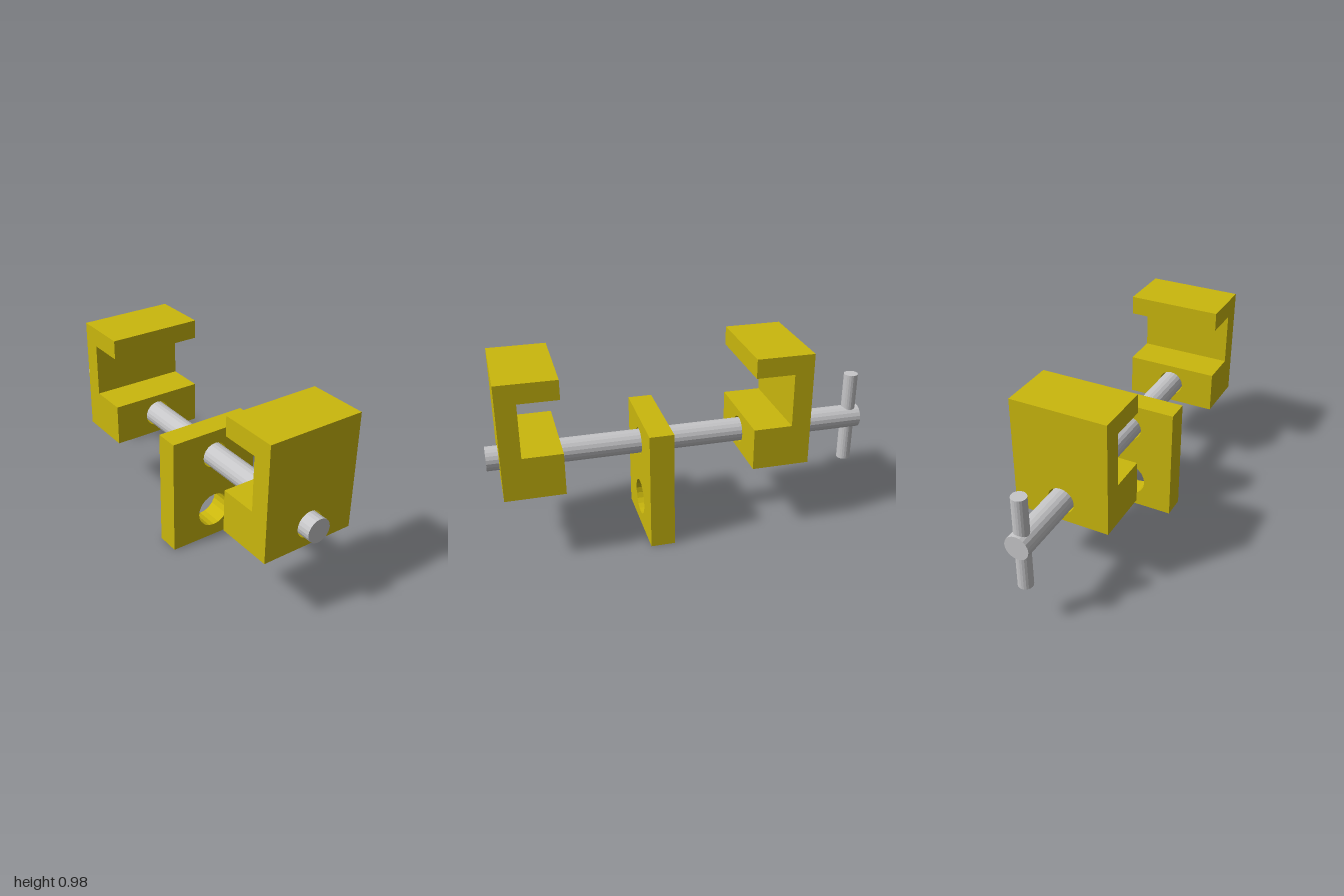
import * as THREE from 'three';

const ROD_Y = 0.4925;
const WIDTH = 0.5;

export function createModel() {
  const model = new THREE.Group();
  model.name = 'barClamp';

  const yellow = new THREE.MeshStandardMaterial({ color: 0xcab70d, flatShading: true });
  yellow.name = 'yellow paint';
  const steel = new THREE.MeshStandardMaterial({ color: 0xc6c6c8, flatShading: true });
  steel.name = 'steel';

  const add = (parent, name, geometry, material, x, y, z) => {
    const mesh = new THREE.Mesh(geometry, material);
    mesh.name = name;
    mesh.position.set(x, y, z);
    parent.add(mesh);
    return mesh;
  };

  // Upright slab from y0 to y1 with round holes [y, radius] through its depth
  const drilledSlab = (y0, y1, depth, holes) => {
    const w = WIDTH / 2;
    const shape = new THREE.Shape([
      new THREE.Vector2(-w, y0), new THREE.Vector2(w, y0),
      new THREE.Vector2(w, y1), new THREE.Vector2(-w, y1),
    ]);
    for (const [y, r] of holes) {
      shape.holes.push(new THREE.Path().absarc(0, y, r, 0, Math.PI * 2, true));
    }
    return new THREE.ExtrudeGeometry(shape, { depth, bevelEnabled: false, curveSegments: 10 });
  };

  const bore = [ROD_Y, 0.07];

  // C-shaped jaw, opening towards -z: drilled back wall, drilled foot and upper lip
  const makeJaw = (name) => {
    const jaw = new THREE.Group();
    jaw.name = name;
    add(jaw, 'jawWall', drilledSlab(0.38, 0.98, 0.1, [bore]), yellow, 0, 0, 0.05);
    add(jaw, 'jawFoot', drilledSlab(0.38, 0.6, 0.2, [bore]), yellow, 0, 0, -0.15);
    add(jaw, 'jawLip', new THREE.BoxGeometry(WIDTH, 0.1, 0.2), yellow, 0, 0.93, -0.05);
    model.add(jaw);
    return jaw;
  };
  makeJaw('frontJaw').position.z = 0.787;
  const rearJaw = makeJaw('rearJaw');
  rearJaw.position.z = -0.47;
  rearJaw.rotation.y = Math.PI;

  // Hanging plate with rod bore and larger lower hole
  add(model, 'middlePlate', drilledSlab(0, 0.63, 0.125, [bore, [0.158, 0.095]]), yellow, 0, 0, 0.095);

  // Long rod and its cross handle
  const rod = add(model, 'rod', new THREE.CylinderGeometry(0.0625, 0.0625, 2, 20), steel, 0, ROD_Y, 0);
  rod.rotation.x = Math.PI / 2;
  add(model, 'crossHandle', new THREE.CylinderGeometry(0.0375, 0.0375, 0.5, 20), steel, 0, ROD_Y, -0.95);

  return model;
}
